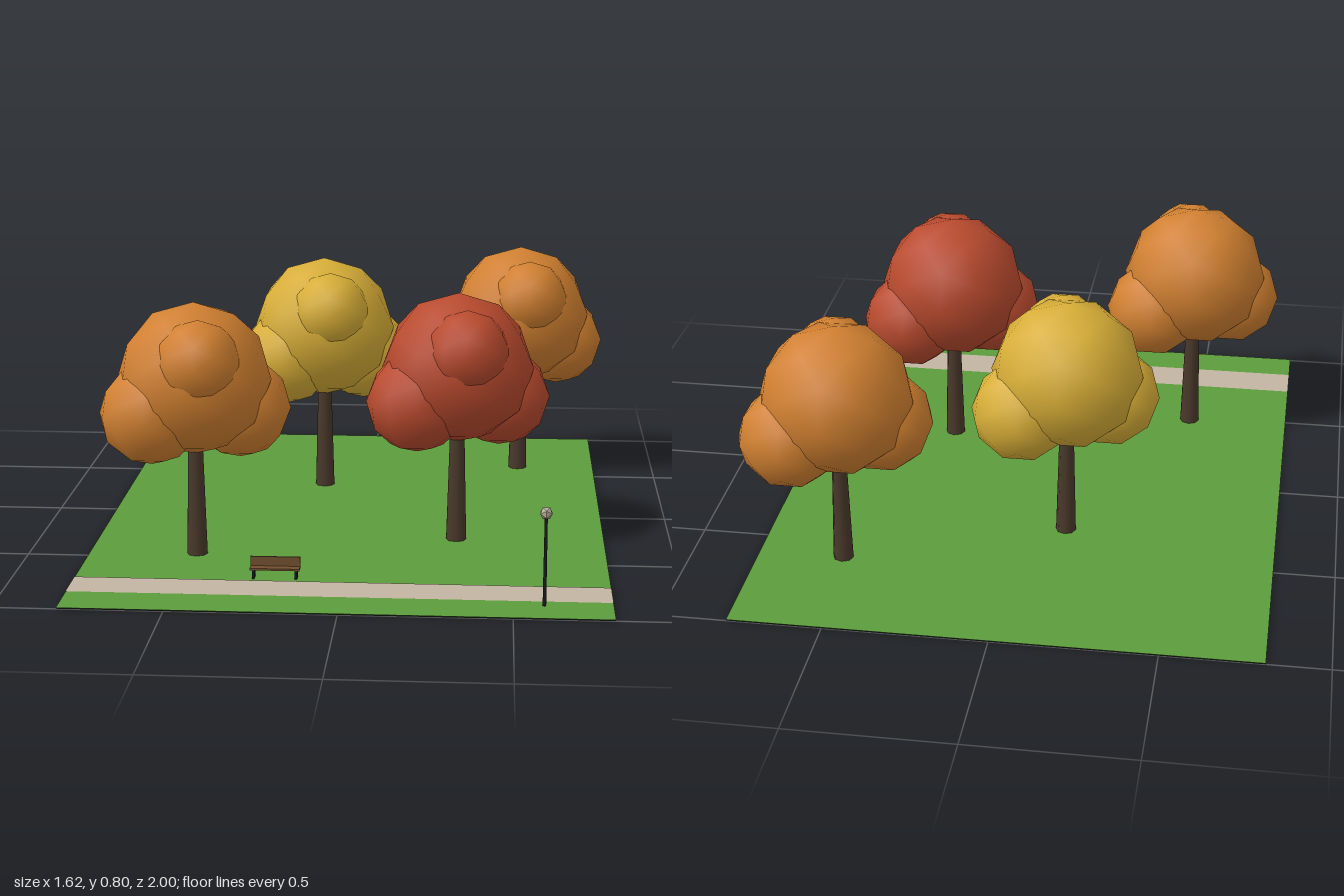
import * as THREE from 'three';

const mat = (name, color) => {
  const m = new THREE.MeshStandardMaterial({ color });
  m.name = name;
  return m;
};

export function createModel() {
  const grass = mat('grass green', 0x5c9c3b);
  const soil = mat('dark soil', 0x27361f);
  const paving = mat('path beige', 0xc4b5a2);
  const bark = mat('bark brown', 0x4a392b);
  const orange = mat('orange leaves', 0xd18030);
  const yellow = mat('yellow leaves', 0xd8ae37);
  const red = mat('red leaves', 0xb94a2e);
  const wood = mat('bench wood', 0x72502f);
  const iron = mat('dark iron', 0x1a1a1a);
  const glass = mat('lamp glass', 0xb5a898);

  const model = new THREE.Group();
  model.name = 'autumnPark';

  const add = (parent, name, geometry, material, x, y, z) => {
    const mesh = new THREE.Mesh(geometry, material);
    mesh.name = name;
    mesh.position.set(x, y, z);
    parent.add(mesh);
    return mesh;
  };
  const box = (w, h, d) => new THREE.BoxGeometry(w, h, d);

  // dark ground slab with a grass surface and a raised path
  add(model, 'groundSlab', box(1.6, 0.003, 2), soil, -0.01, 0.002, 0);
  const lawn = new THREE.PlaneGeometry(1.6, 2).rotateX(-Math.PI / 2);
  add(model, 'lawn', lawn, grass, -0.01, 0.0045, 0);
  const path = new THREE.PlaneGeometry(1.6, 0.135).rotateX(-Math.PI / 2);
  add(model, 'path', path, paving, -0.01, 0.007, 0.797);

  // trees: tapered trunk and four overlapping leaf clumps [name, radius, x, y, z]
  const trunkGeometry = new THREE.CylinderGeometry(0.022, 0.032, 0.38, 8);
  const clumps = [
    ['mainCrown', 0.236, 0, 0.562, 0],
    ['leftClump', 0.158, 0.13, 0.458, -0.07],
    ['rightClump', 0.158, -0.125, 0.464, 0.06],
    ['frontClump', 0.132, 0.03, 0.635, 0.12],
  ].map(([name, r, ...at]) => [name, new THREE.IcosahedronGeometry(r, 1), at]);

  const trees = [
    [-0.475, 0.47, orange],
    [-0.143, -0.335, yellow],
    [0.323, 0.27, red],
    [0.523, -0.6, orange],
  ];
  for (const [x, z, leaves] of trees) {
    const tree = new THREE.Group();
    tree.name = 'tree';
    tree.position.set(x, 0, z);
    add(tree, 'trunk', trunkGeometry, bark, 0, 0.19, 0);
    for (const [name, geometry, at] of clumps) add(tree, name, geometry, leaves, ...at);
    model.add(tree);
  }

  // bench facing the path
  const bench = new THREE.Group();
  bench.name = 'bench';
  bench.position.set(-0.21, 0, 0.692);
  add(bench, 'seat', box(0.15, 0.006, 0.032), wood, 0, 0.034, 0);
  add(bench, 'backrest', box(0.15, 0.03, 0.005), wood, 0, 0.051, -0.0145);
  for (const side of [-1, 1]) {
    add(bench, 'benchLeg', box(0.007, 0.034, 0.032), iron, side * 0.064, 0.017, 0);
  }
  model.add(bench);

  // street lamp with a faceted globe
  const lamp = new THREE.Group();
  lamp.name = 'streetLamp';
  lamp.position.set(0.59, 0, 0.893);
  add(lamp, 'lampPost', new THREE.CylinderGeometry(0.005, 0.006, 0.27, 6), iron, 0, 0.135, 0);
  add(lamp, 'lampGlobe', new THREE.IcosahedronGeometry(0.02), glass, 0, 0.282, 0);
  model.add(lamp);

  return model;
}
